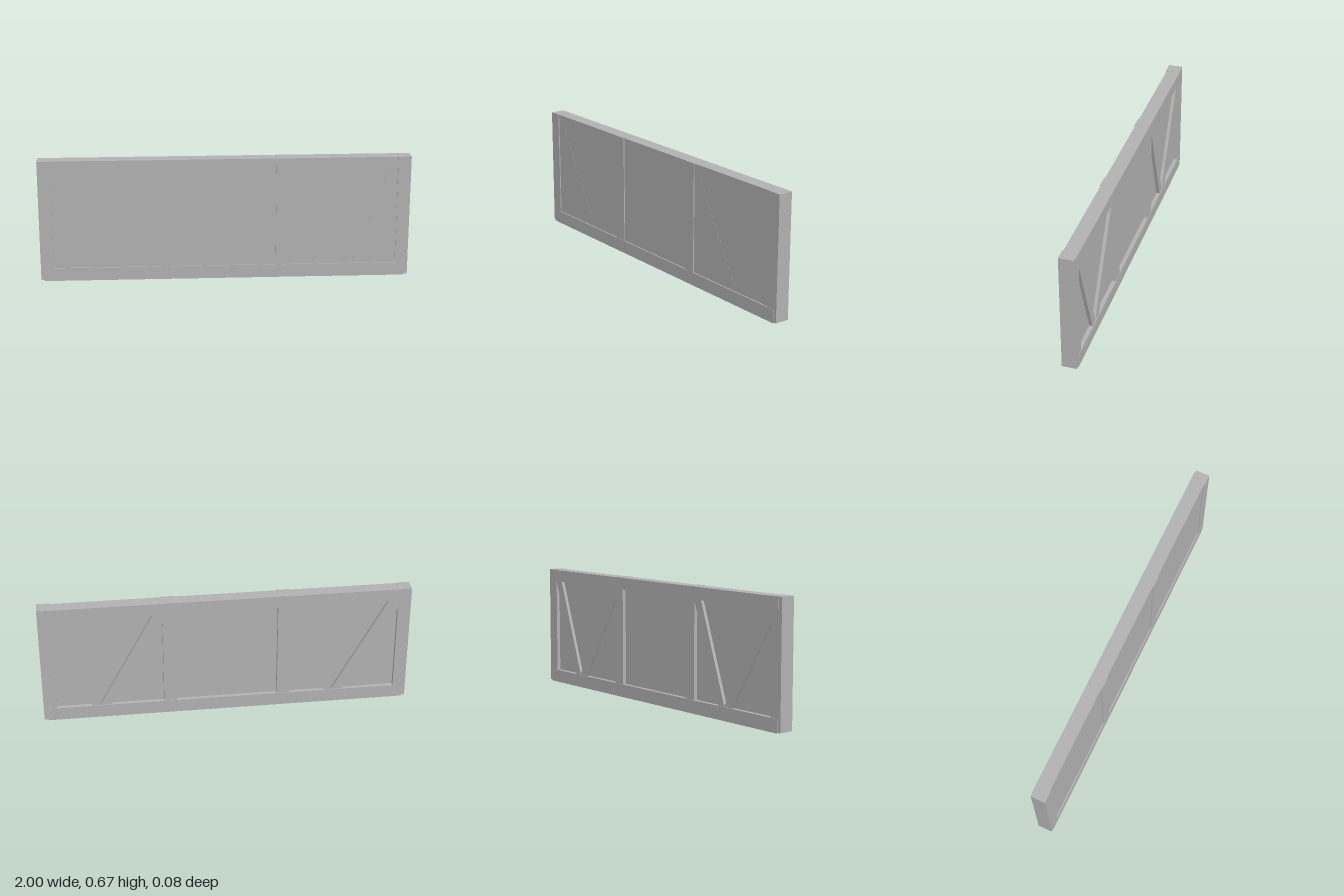
import * as THREE from 'three';

const timber = new THREE.MeshStandardMaterial({ color: 0xb2b2b2 });
timber.name = 'grey timber';

export function createModel() {
  const model = new THREE.Group();
  model.name = 'framedWallPanel';

  // Box given by its limits on each axis
  const box = (name, x0, x1, y0, y1, z0, z1) => {
    const mesh = new THREE.Mesh(new THREE.BoxGeometry(x1 - x0, y1 - y0, z1 - z0), timber);
    mesh.position.set((x0 + x1) / 2, (y0 + y1) / 2, (z0 + z1) / 2);
    mesh.name = name;
    model.add(mesh);
  };

  // Upright posts, proud of the infill on both faces
  const posts = [[-1, -0.93], [-0.345, -0.275], [0.275, 0.345], [0.93, 1]];
  posts.forEach(([a, b], i) => box(`post${i + 1}`, a, b, 0.005, 0.67, -0.038, 0.041));

  // Rails, ending just short of the panel's ends
  box('bottomRail', -0.98, 0.98, 0, 0.072, -0.041, 0.0425);
  box('topRail', -0.98, 0.98, 0.602, 0.669, -0.041, 0.036);

  // Infill sheets, nearly flush in front and recessed at the back
  for (let i = 0; i < 3; i++) {
    box(`infill${i + 1}`, posts[i][1], posts[i + 1][0], 0.06, 0.665, -0.018, 0.0355);
  }

  // Diagonal braces forming a V in each outer bay
  const brace = (name, x, points) => {
    const shape = new THREE.Shape(points.map(([u, y]) => new THREE.Vector2(u, y)));
    const geometry = new THREE.ExtrudeGeometry(shape, { depth: 0.072, bevelEnabled: false });
    const mesh = new THREE.Mesh(geometry, timber);
    mesh.position.set(x, 0, -0.036);
    mesh.name = name;
    model.add(mesh);
  };
  [['right', -0.93], ['left', 0.345]].forEach(([side, x]) => {
    brace(`${side}BayLongBrace`, x, [[0, 0.605], [0, 0.55], [0.29, 0.07], [0.35, 0.07], [0.05, 0.605]]);
    brace(`${side}BaySteepBrace`, x, [[0.585, 0.605], [0.535, 0.605], [0.345, 0.07], [0.392, 0.07], [0.585, 0.59]]);
  });

  return model;
}
